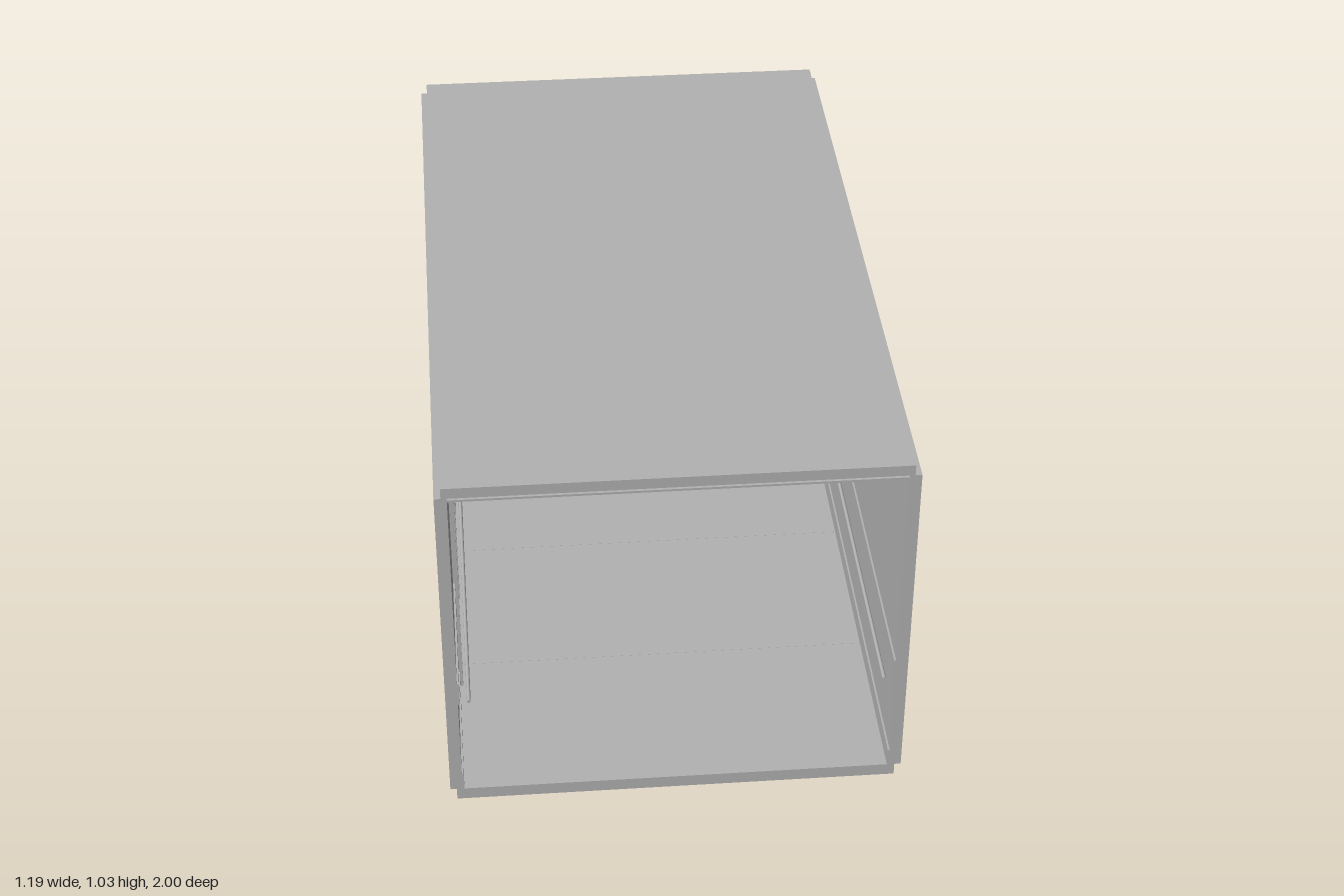
import * as THREE from 'three';

export function createModel() {
  const model = new THREE.Group();
  const grey = new THREE.MeshStandardMaterial({ color: 0xb2b2b2 });
  grey.name = 'plain grey';

  // Box given by its min and max on each axis
  function box(name, [x0, x1], [y0, y1], [z0, z1]) {
    const mesh = new THREE.Mesh(new THREE.BoxGeometry(Math.abs(x1 - x0), y1 - y0, z1 - z0), grey);
    mesh.position.set((x0 + x1) / 2, (y0 + y1) / 2, (z0 + z1) / 2);
    mesh.name = name;
    model.add(mesh);
    return mesh;
  }

  // Shell
  const back = -1, front = 0.993, run = [back, front];
  box('floor', [-0.58, 0.58], [0, 0.035], run);
  box('roof', [-0.58, 0.58], [1, 1.03], run);
  box('ceilingPanel', [-0.565, 0.565], [0.994, 1.0], [back, 1]);

  // Floor track and cross seams
  for (const x of [-0.32, -0.27]) box('floorTrack', [x - 0.002, x + 0.002], [0.034, 0.0355], run);
  for (const z of [0.5, 0, -0.33]) box('floorSeam', [-0.56, 0.56], [0.034, 0.0355], [z - 0.002, z + 0.002]);

  // Each side wall with its doorway, trim and rail
  for (const { side, doorBack, doorFront, window } of [
    { side: -1, doorBack: 0.19, doorFront: 0.59, window: [0.23, 0.33] },
    { side: 1, doorBack: -0.73, doorFront: -0.31, window: [-0.68, -0.57] },
  ]) {
    const xs = (a, b) => [side * a, side * b];
    box('sideWall', xs(0.565, 0.597), [0.035, 1], run);

    // Skirting and dado bands stop at the doorway
    for (const span of [[back, doorBack], [doorFront, front]]) {
      box('skirting', xs(0.56, 0.57), [0.035, 0.087], span);
      box('dadoBand', xs(0.56, 0.57), [0.33, 0.4], span);
    }

    // Doorway
    const jamb = 0.03, top = 0.757;
    box('doorJamb', xs(0.552, 0.57), [0.035, top], [doorBack, doorBack + jamb]);
    box('doorJamb', xs(0.552, 0.57), [0.035, top], [doorFront - jamb, doorFront]);
    box('doorLintel', xs(0.552, 0.57), [top - jamb, top], [doorBack + jamb, doorFront - jamb]);
    box('doorLeaf', xs(0.558, 0.57), [0.035, top - jamb], [doorBack + jamb, doorFront - jamb]);
    box('doorWindow', xs(0.549, 0.558), [0.43, 0.6], window);

    // Handrail
    const rail = new THREE.Mesh(new THREE.CylinderGeometry(0.005, 0.005, front - back, 12), grey);
    rail.rotation.x = Math.PI / 2;
    rail.position.set(side * 0.537, 0.34, (front + back) / 2);
    rail.name = 'handrail';
    model.add(rail);
  }

  // Small control panel beside one doorway
  box('controlPanel', [0.562, 0.57], [0.55, 0.645], [-0.89, -0.79]);

  return model;
}
